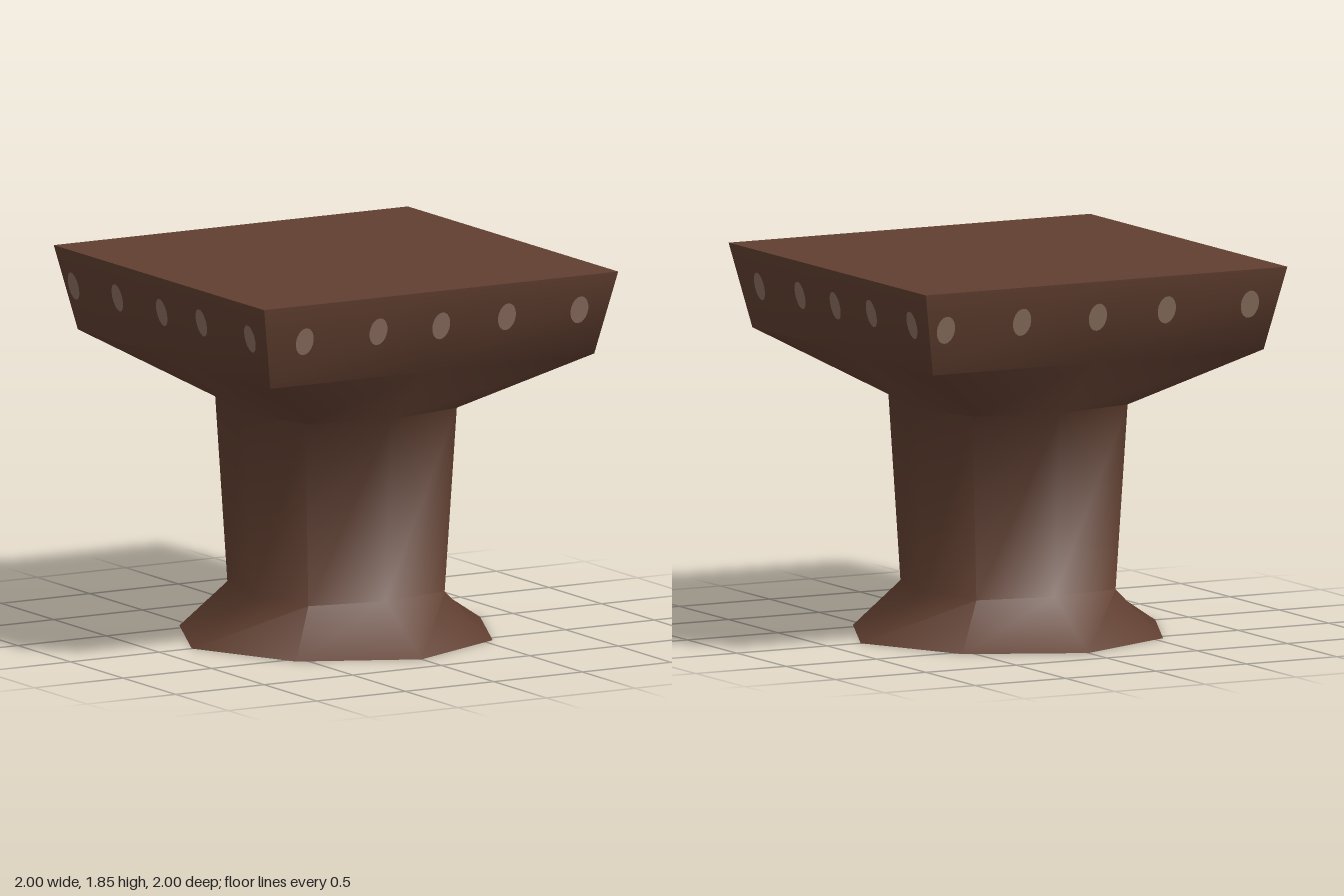
import * as THREE from 'three';
import { toCreasedNormals } from 'three/addons/utils/BufferGeometryUtils.js';

// Eight-sided cross-sections: [height, distance of side midpoints, x and z of the corners]
const RINGS = [
  [0, 0.815, 0.555],      // foot rim
  [0.23, 0.465, 0.385],   // ankle of the column
  [1.14, 0.53, 0.428],    // top of the column
  [1.44, 0.915, 0.915],   // underside of the square slab
  [1.85, 1, 1],           // slab top
];

function loft(rings) {
  const pos = [], index = [];
  for (const [y, side, corner] of rings) {
    for (let i = 0; i < 8; i++) {
      const r = i % 2 ? corner * Math.SQRT2 : side;
      const t = (i * Math.PI) / 4;
      pos.push(r * Math.sin(t), y, r * Math.cos(t));
    }
  }
  for (let k = 0; k < rings.length - 1; k++) {
    for (let i = 0; i < 8; i++) {
      const a = k * 8 + i, b = k * 8 + ((i + 1) % 8);
      index.push(a, b, b + 8, a, b + 8, a + 8);
    }
  }
  // Flat end caps
  const last = (rings.length - 1) * 8, c = rings.length * 8;
  pos.push(0, rings[0][0], 0, 0, rings[rings.length - 1][0], 0);
  for (let i = 0; i < 8; i++) {
    const j = (i + 1) % 8;
    index.push(c, j, i, c + 1, last + i, last + j);
  }
  const geo = new THREE.BufferGeometry();
  geo.setAttribute('position', new THREE.Float32BufferAttribute(pos, 3));
  geo.setIndex(index);
  return toCreasedNormals(geo, 1.2);
}

export function createModel() {
  const model = new THREE.Group();
  model.name = 'pedestal';

  const wood = new THREE.MeshStandardMaterial({ color: 0x613f30 });
  wood.name = 'dark brown';
  const pale = new THREE.MeshStandardMaterial({ color: 0x886c5d });
  pale.name = 'pale brown';

  // Foot, column and square slab in one smooth body
  const body = new THREE.Mesh(loft(RINGS), wood);
  body.name = 'body';
  model.add(body);

  // Rows of oval studs, lying on the sloped slab sides
  const frontRow = [-0.75, -0.335, 0.02, 0.39, 0.8];
  const backRow = [-0.87, -0.45, -0.03, 0.35, 0.81];
  const heights = [1.665, 1.675, 1.67, 1.68, 1.675];
  const slope = 0.085 / 0.41;
  const oval = new THREE.CircleGeometry(1, 20).scale(0.05, 0.07, 1);
  const sides = [['front', frontRow], ['left', frontRow], ['back', backRow], ['right', backRow]];
  sides.forEach(([name, row], s) => {
    const studs = new THREE.Group();
    studs.name = name + 'Studs';
    studs.rotation.y = (s * Math.PI) / 2;
    row.forEach((x, i) => {
      const stud = new THREE.Mesh(oval, pale);
      stud.name = 'stud';
      stud.position.set(x, heights[i], 0.915 + slope * (heights[i] - 1.44) + 0.004);
      stud.rotation.x = Math.atan(slope);
      studs.add(stud);
    });
    model.add(studs);
  });

  return model;
}
